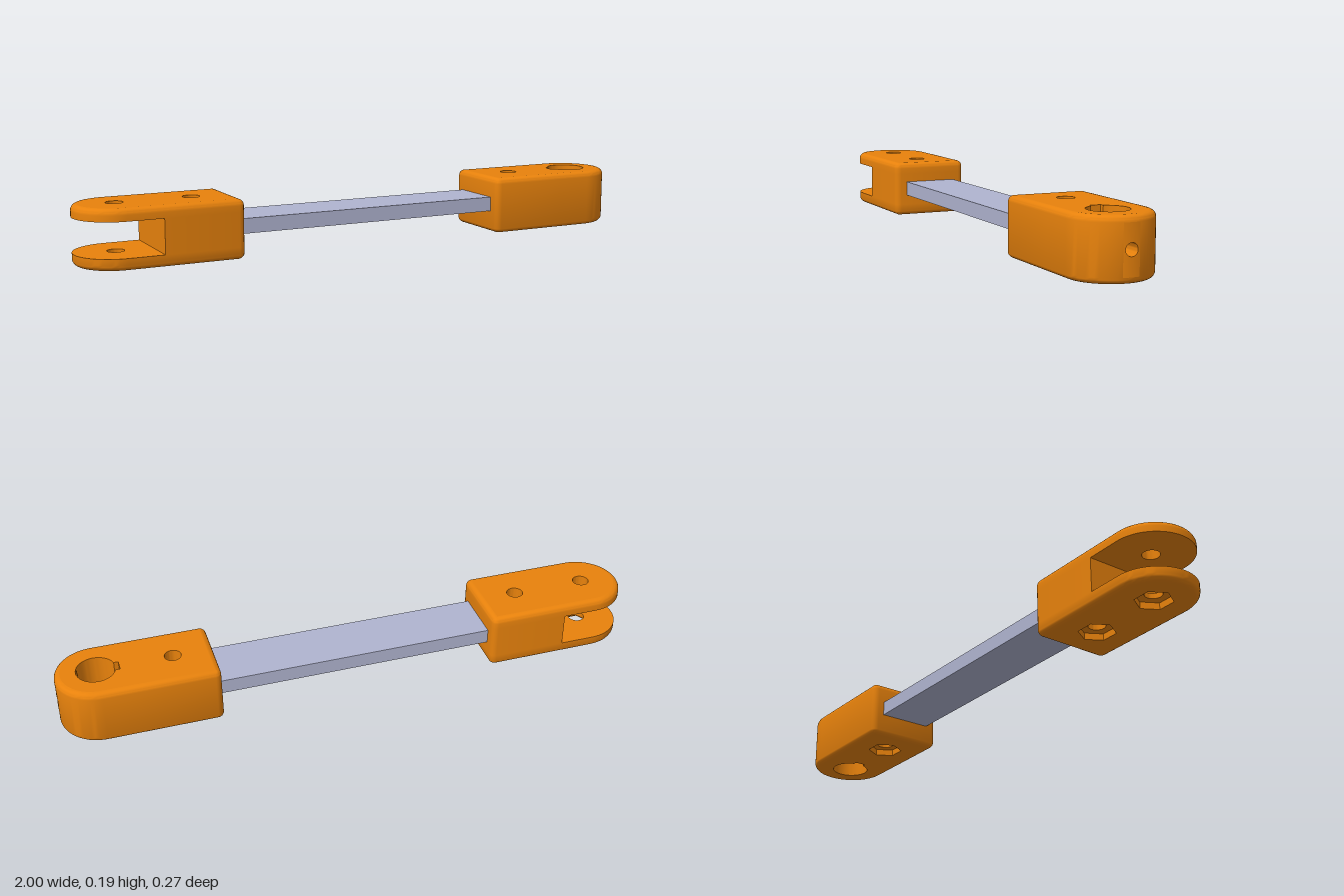
import * as THREE from 'three';
import { toCreasedNormals } from 'three/addons/utils/BufferGeometryUtils.js';

const H = 0.195, W = 0.136, INNER = 0.475, TIP = 0.864, FILLET = 0.02;
const GAP = { x: 0.745, y0: 0.04, y1: 0.155 };
const BOLT_X = 0.61, BOLT_R = 0.028, NUT_R = 0.06, NUT_D = 0.022;
const BORE_R = 0.065, PIN_R = 0.02, PIN_Y = 0.098, ARC = 32;

const orange = new THREE.MeshStandardMaterial({ color: 0xe8820c });
const steel = new THREE.MeshStandardMaterial({ color: 0xb0b4d0 });

// Points on an arc in the (x, z) plane
function arc(cx, cz, r, a0, a1, n) {
  return Array.from({ length: n + 1 }, (_, i) => {
    const a = a0 + ((a1 - a0) * i) / n;
    return new THREE.Vector2(cx + r * Math.cos(a), cz + r * Math.sin(a));
  });
}
const loop = (x, r, n) => arc(x, 0, r, 0, 2 * Math.PI, n).slice(0, n);
const at = (pts, y) => pts.map((p) => new THREE.Vector3(p.x, y, p.y));

function add(group, name, geo, mat = orange) {
  const mesh = new THREE.Mesh(geo, mat);
  mesh.name = name;
  group.add(mesh);
}

// Skin over closed rings; skip(row, segment) leaves openings
function loft(rings, inward = false, skip = () => false) {
  const n = rings[0].length, idx = [];
  for (let r = 0; r < rings.length - 1; r++)
    for (let i = 0; i < n; i++) {
      if (skip(r, i)) continue;
      const a = r * n + i, b = r * n + ((i + 1) % n), c = a + n, d = b + n;
      idx.push(...(inward ? [a, b, c, b, d, c] : [a, c, b, b, c, d]));
    }
  const geo = new THREE.BufferGeometry().setFromPoints(rings.flat());
  geo.setIndex(idx);
  return toCreasedNormals(geo, 0.6);
}

function flip(geo) {
  const a = geo.index.array;
  for (let i = 0; i < a.length; i += 3) [a[i], a[i + 1]] = [a[i + 1], a[i]];
}

// Horizontal face with holes
function plate(pts, holes, y, up) {
  const shape = new THREE.Shape(pts);
  shape.holes = holes.map((h) => new THREE.Path(h));
  const geo = new THREE.ShapeGeometry(shape);
  const p = geo.attributes.position;
  for (let i = 0; i < p.count; i++) p.setXYZ(i, p.getX(i), y, p.getY(i));
  if (up) flip(geo);
  geo.computeVertexNormals();
  return geo;
}

// Piece of upright cylinder wall pierced by the round pin hole
function piercedPatch(r, step, segs, y0, y1, outward) {
  const pts = [];
  for (let i = -segs; i <= segs; i++) pts.push(new THREE.Vector2(i * step * r, y0));
  for (let i = segs; i >= -segs; i--) pts.push(new THREE.Vector2(i * step * r, y1));
  const shape = new THREE.Shape(pts);
  shape.holes.push(new THREE.Path(loop(0, PIN_R, 24).map(
    (q) => new THREE.Vector2(r * Math.asin(q.x / r), PIN_Y + q.y))));
  const geo = new THREE.ShapeGeometry(shape);
  const p = geo.attributes.position, nor = geo.attributes.normal, s = outward ? 1 : -1;
  for (let i = 0; i < p.count; i++) {
    const a = p.getX(i) / r;
    p.setXYZ(i, TIP + r * Math.cos(a), p.getY(i), r * Math.sin(a));
    nor.setXYZ(i, s * Math.cos(a), 0, s * Math.sin(a));
  }
  if (outward) flip(geo);
  return geo;
}

// Plan outline of an end block, inset by d; the tip is round
function outline(d) {
  const w = W - d, c = W - 0.021, r = 0.021 - d, q = Math.PI / 2;
  return [
    ...arc(TIP, 0, w, -q, q, ARC),
    new THREE.Vector2(GAP.x, w),
    ...arc(INNER + 0.021, c, r, q, 2 * q, 4),
    ...arc(INNER + 0.021, -c, r, 2 * q, 3 * q, 4),
    new THREE.Vector2(GAP.x, -w),
  ];
}

// Rounded outer skin; the middle rows sit at the given heights
function blockSkin(heights, skip) {
  const rings = [], steps = 5;
  const ring = (t, y) => at(outline(FILLET * (1 - Math.sin(t))), y);
  for (let i = 0; i <= steps; i++) {
    const t = (i / steps) * (Math.PI / 2);
    rings.push(ring(t, FILLET * (1 - Math.cos(t))));
  }
  for (const y of heights) rings.push(at(outline(0), y));
  for (let i = steps; i >= 0; i--) {
    const t = (i / steps) * (Math.PI / 2);
    rings.push(ring(t, H - FILLET * (1 - Math.cos(t))));
  }
  return loft(rings, false, (r, i) => skip(r - steps, i));
}

// Hexagonal nut recess with the bolt hole above it
function boltHole(group, x, spans) {
  const hex = loop(x, NUT_R, 6), hole = loop(x, BOLT_R, 32);
  add(group, 'nutRecess', loft([at(hex, 0), at(hex, NUT_D)], true));
  add(group, 'nutSeat', plate(hex, [hole], NUT_D, false));
  for (const [a, b] of spans) add(group, 'boltHole', loft([at(hole, a), at(hole, b)], true));
}

function createEye() {
  const g = new THREE.Group();
  g.name = 'eyeEnd';
  const mid = ARC / 2, cap = outline(FILLET);
  add(g, 'eyeBody', blockSkin([], (r, i) => r === 0 && i >= mid - 2 && i < mid + 2));
  add(g, 'eyeTip', piercedPatch(W, Math.PI / ARC, 2, FILLET, H - FILLET, true));

  // Large bore with a narrow slot on its inner side
  const a = Math.PI - Math.asin(PIN_R / BORE_R), n = 48;
  const bore = [
    ...arc(TIP, 0, BORE_R, -a, a, n),
    new THREE.Vector2(0.787, PIN_R), new THREE.Vector2(0.787, -PIN_R),
  ];
  add(g, 'bore', loft([at(bore, 0), at(bore, H)], true,
    (r, i) => i >= n / 2 - 4 && i < n / 2 + 4));
  add(g, 'boreFront', piercedPatch(BORE_R, (2 * a) / n, 4, 0, H, false));

  // Pin hole from the tip into the bore
  const pinRing = (r) => loop(0, PIN_R, 24).map(
    (q) => new THREE.Vector3(TIP + Math.sqrt(r * r - q.x * q.x), PIN_Y + q.y, q.x));
  add(g, 'pinHole', loft([pinRing(BORE_R), pinRing(W)], true));

  add(g, 'eyeTop', plate(cap, [bore, loop(BOLT_X, BOLT_R, 32)], H, true));
  add(g, 'eyeBottom', plate(cap, [bore, loop(BOLT_X, NUT_R, 6)], 0, false));
  boltHole(g, BOLT_X, [[NUT_D, H]]);
  return g;
}

function createFork() {
  const g = new THREE.Group();
  g.name = 'forkEnd';
  const cap = outline(FILLET), full = outline(0), last = full.length - 1;
  const xs = [BOLT_X, TIP];
  add(g, 'forkBody', blockSkin([GAP.y0, GAP.y1], (r, i) => r === 1 && (i <= ARC || i === last)));
  add(g, 'forkTop', plate(cap, xs.map((x) => loop(x, BOLT_R, 32)), H, true));
  add(g, 'forkBottom', plate(cap, xs.map((x) => loop(x, NUT_R, 6)), 0, false));

  // Inside faces of the gap between the prongs
  const prong = [...full.slice(0, ARC + 2), full[last]], hole = loop(TIP, BOLT_R, 32);
  add(g, 'lowerProngFace', plate(prong, [hole], GAP.y0, true));
  add(g, 'upperProngFace', plate(prong, [hole], GAP.y1, false));
  const back = new THREE.PlaneGeometry(2 * W, GAP.y1 - GAP.y0);
  back.rotateY(Math.PI / 2).translate(GAP.x, (GAP.y0 + GAP.y1) / 2, 0);
  add(g, 'gapBack', back);

  boltHole(g, BOLT_X, [[NUT_D, H]]);
  boltHole(g, TIP, [[NUT_D, GAP.y0], [GAP.y1, H]]);
  g.rotation.y = Math.PI;
  return g;
}

export function createModel() {
  const model = new THREE.Group();
  model.name = 'connectingLink';
  model.add(createEye(), createFork());
  // Flat bar joining the two ends
  const bar = new THREE.BoxGeometry(1.12, 0.05, 0.188);
  bar.translate(0, 0.1, 0);
  add(model, 'bar', bar, steel);
  return model;
}
